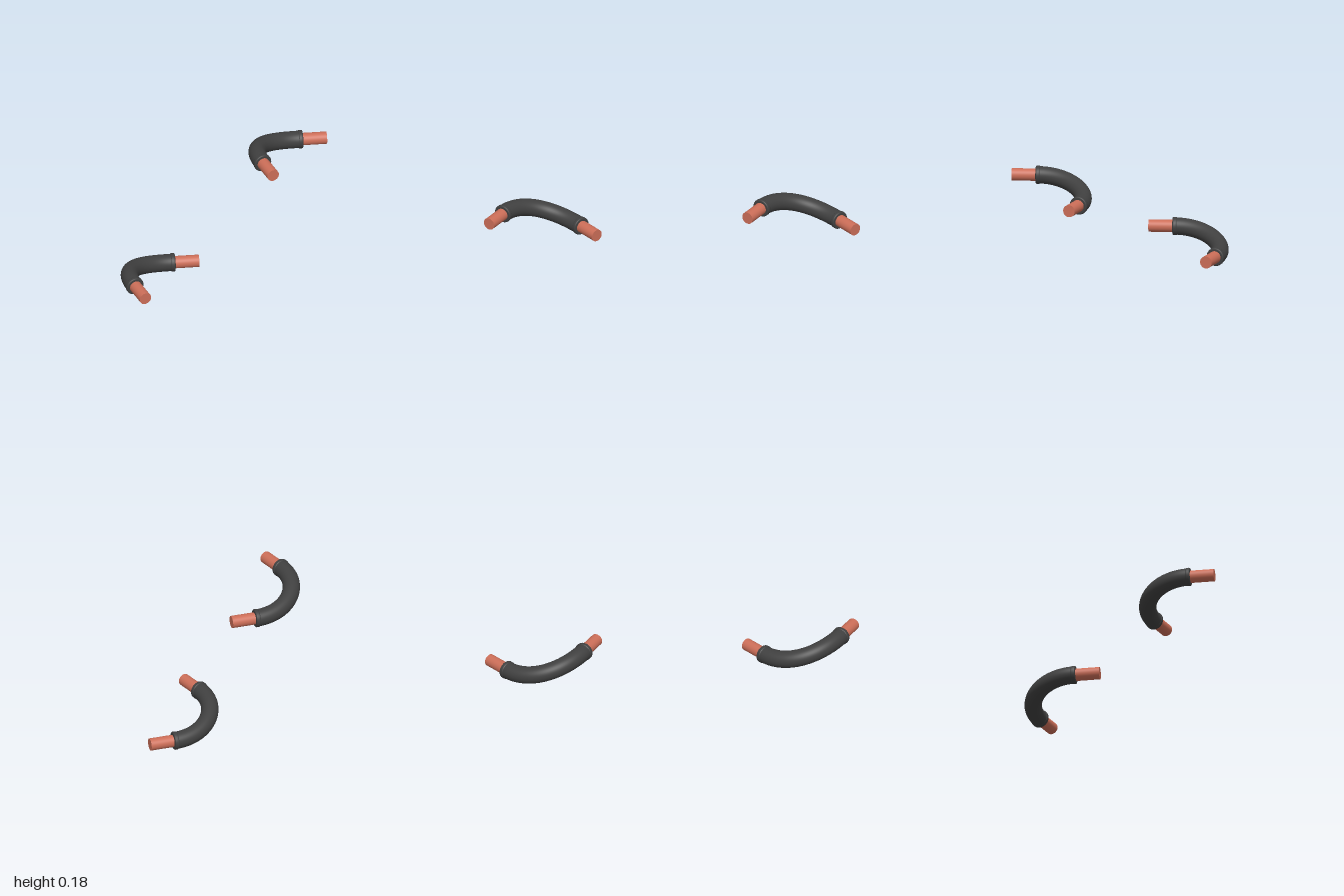
import * as THREE from 'three';

const PIN_R = 0.033, BODY_R = 0.0462, COLLAR_R = 0.049;
const ANGLE = THREE.MathUtils.degToRad(36); // how far the ends splay from the x axis
const HIGH = 0.134, LOW = 0.049;

const copper = new THREE.MeshStandardMaterial({ color: 0xcc6e58 });
const rubber = new THREE.MeshStandardMaterial({ color: 0x404040 });

function addMesh(parent, name, geometry, material) {
  const mesh = new THREE.Mesh(geometry, material);
  mesh.name = name;
  parent.add(mesh);
  return mesh;
}

// Bare wire end and rounded jacket rim, built along +y from the jacket's end
function createEnd(name, position, direction) {
  const end = new THREE.Group();
  end.name = name;
  const pin = new THREE.CylinderGeometry(PIN_R, PIN_R, 0.157, 40);
  pin.translate(0, 0.0495, 0);
  addMesh(end, 'copperPin', pin, copper);

  const profile = [[BODY_R - 0.001, -0.024], [COLLAR_R - 0.0007, -0.021], [COLLAR_R, -0.018], [COLLAR_R, -0.007]];
  for (let i = 1; i <= 5; i++) {
    const a = (i / 5) * Math.PI / 2;
    profile.push([COLLAR_R - 0.007 + 0.007 * Math.cos(a), -0.007 + 0.007 * Math.sin(a)]);
  }
  profile.push([0.038, 0], [PIN_R - 0.001, 0]);
  const rim = new THREE.LatheGeometry(profile.map(([r, y]) => new THREE.Vector2(r, y)), 40);
  addMesh(end, 'jacketRim', rim, rubber);

  end.position.copy(position);
  end.quaternion.setFromUnitVectors(new THREE.Vector3(0, 1, 0), direction);
  return end;
}

// One bent cable: its +z end sits higher than its -z end
function createCable(name) {
  const cable = new THREE.Group();
  cable.name = name;
  const ends = [1, -1].map((s) => ({
    position: new THREE.Vector3(0.025, s > 0 ? HIGH : LOW, s * 0.212),
    direction: new THREE.Vector3(Math.cos(ANGLE), 0, s * Math.sin(ANGLE)),
  }));
  // Jacket centre line, stopping just inside the rims
  const [a, b] = ends.map((e) => e.position.clone().addScaledVector(e.direction, -0.008));
  const path = new THREE.CubicBezierCurve3(
    a, a.clone().addScaledVector(ends[0].direction, -0.196),
    b.clone().addScaledVector(ends[1].direction, -0.196), b);
  addMesh(cable, 'jacket', new THREE.TubeGeometry(path, 64, BODY_R, 40), rubber);
  ends.forEach((e, i) => cable.add(createEnd(i ? 'lowerEnd' : 'upperEnd', e.position, e.direction)));
  return cable;
}

export function createModel() {
  const model = new THREE.Group();
  model.name = 'cablePair';
  for (const [name, z] of [['frontCable', 0.688], ['backCable', -0.688]]) {
    const cable = createCable(name);
    cable.position.z = z;
    model.add(cable);
  }
  return model;
}
